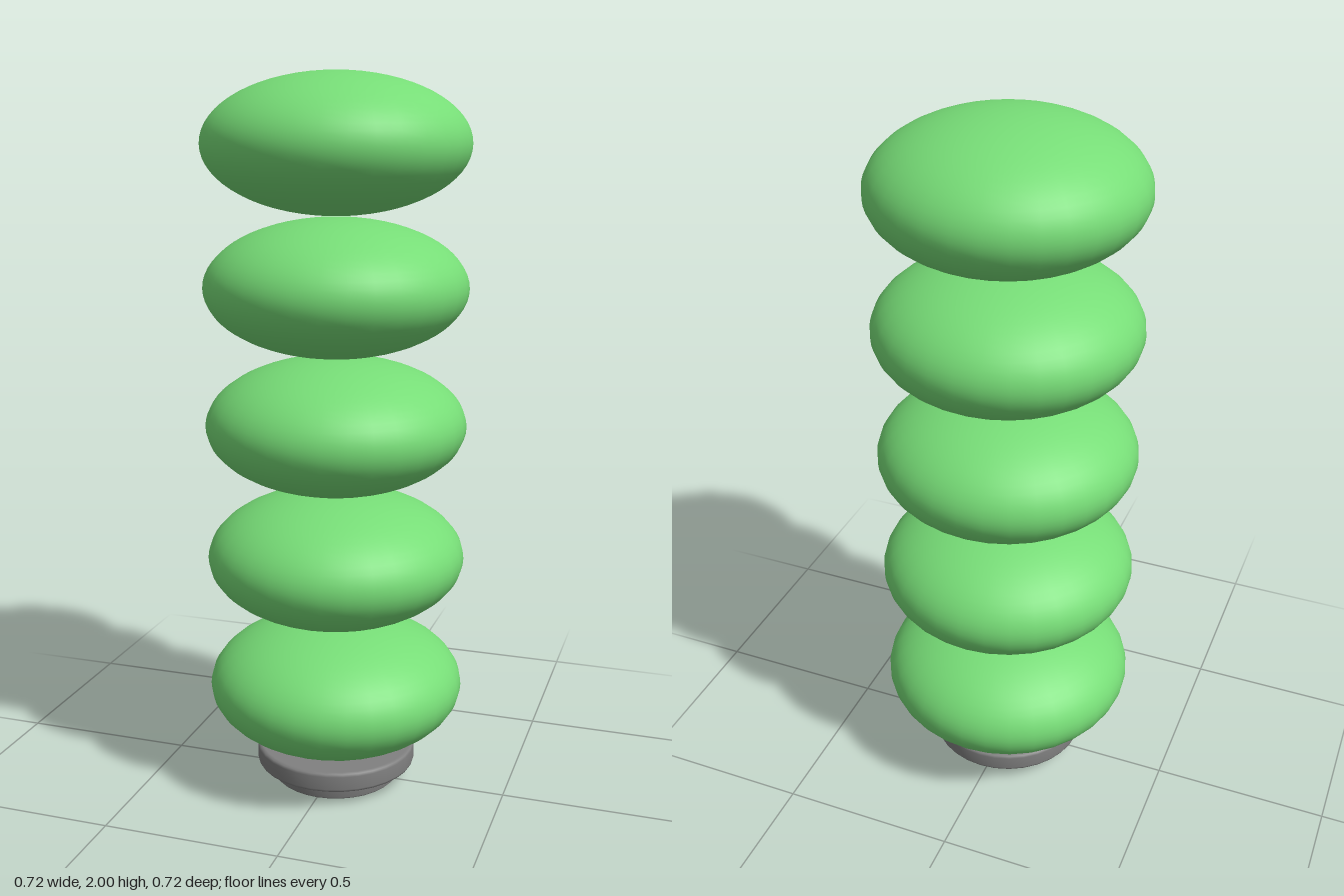
import * as THREE from 'three';

const green = new THREE.MeshStandardMaterial({ color: 0x77dd77 });
green.name = 'green';
const grey = new THREE.MeshStandardMaterial({ color: 0x808080 });
grey.name = 'grey';

export function createModel() {
  const model = new THREE.Group();
  model.name = 'stackedBeads';

  // five identical flattened beads, one above the other
  const beadGeometry = new THREE.SphereGeometry(0.361, 32, 32);
  beadGeometry.scale(1, 0.188 / 0.361, 1);
  for (let i = 0; i < 5; i++) {
    const bead = new THREE.Mesh(beadGeometry, green);
    bead.name = 'bead' + (i + 1);
    bead.position.y = 0.292 + i * 0.38;
    model.add(bead);
  }

  // turned base: narrow foot, cove and wide flange with softened rims
  const profile = [
    [0, 0], [0.168, 0], [0.178, 0.002], [0.184, 0.008], [0.184, 0.034],
    [0.187, 0.042], [0.195, 0.046], [0.218, 0.046], [0.226, 0.049],
    [0.229, 0.056], [0.229, 0.094], [0.226, 0.101], [0.218, 0.104], [0, 0.104],
  ].map(([r, y]) => new THREE.Vector2(r, y));
  const base = new THREE.Mesh(new THREE.LatheGeometry(profile, 32), grey);
  base.name = 'base';
  model.add(base);

  return model;
}
